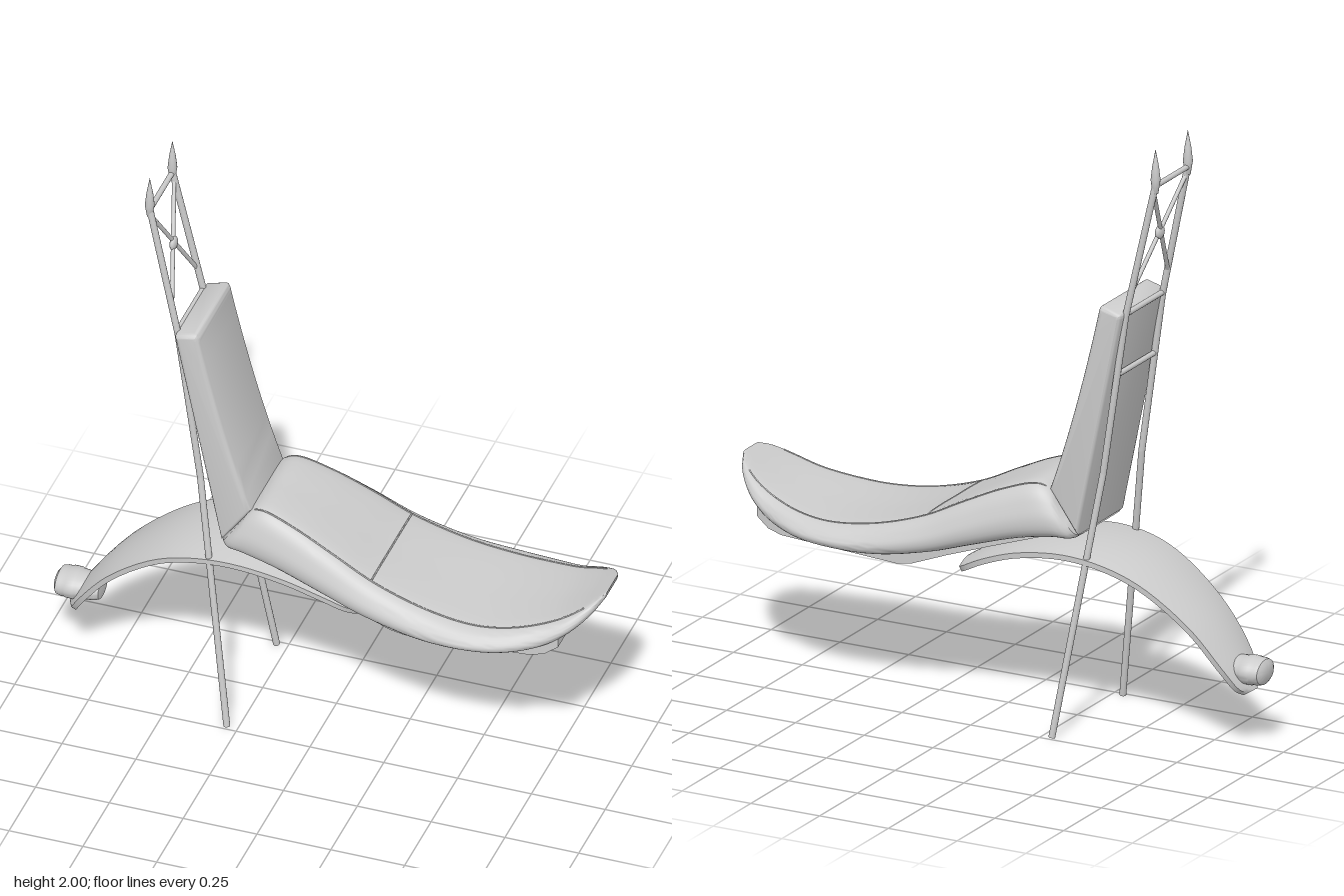
import * as THREE from 'three';
import { toCreasedNormals } from 'three/addons/utils/BufferGeometryUtils.js';

const V = (x, y, z = 0) => new THREE.Vector3(x, y, z);
const curve = (pts, closed = false) => new THREE.CatmullRomCurve3(pts.map(p => V(...p)), closed);

// Skin closed rings that advance along +x (each ordered top, +z, bottom, -z) and cap both ends
function loft(rings, crease = 0.7) {
  const n = rings[0].length, pos = [], idx = [];
  rings.forEach(r => r.forEach(p => pos.push(p.x, p.y, p.z)));
  for (let i = 0; i < rings.length - 1; i++) {
    for (let j = 0; j < n; j++) {
      const k = (j + 1) % n, a = i * n + j, b = i * n + k, c = b + n, d = a + n;
      idx.push(a, b, c, a, c, d);
    }
  }
  [0, rings.length - 1].forEach(i => {
    const mid = rings[i].reduce((s, p) => s.add(p), V(0, 0, 0)).divideScalar(n);
    const m = pos.length / 3;
    pos.push(mid.x, mid.y, mid.z);
    for (let j = 0; j < n; j++) {
      const a = i * n + j, b = i * n + (j + 1) % n;
      if (i === 0) idx.push(m, b, a); else idx.push(m, a, b);
    }
  });
  const g = new THREE.BufferGeometry();
  g.setAttribute('position', new THREE.Float32BufferAttribute(pos, 3));
  g.setIndex(idx);
  return toCreasedNormals(g, crease);
}

export function createModel() {
  const model = new THREE.Group();
  const grey = new THREE.MeshStandardMaterial({ color: 0xcccccc });
  grey.name = 'light grey';

  function add(name, geometry, parent = model) {
    const m = new THREE.Mesh(geometry, grey);
    m.name = name;
    parent.add(m);
    return m;
  }
  function rod(name, a, b, r, parent) {
    const m = add(name, new THREE.CylinderGeometry(r, r, a.distanceTo(b), 12), parent);
    m.position.copy(a).lerp(b, 0.5);
    m.quaternion.setFromUnitVectors(V(0, 1), b.clone().sub(a).normalize());
    return m;
  }

  // Seat pad: stations of [top x, top y, half width] and [bottom x, bottom y]
  const top = curve([
    [-0.25, 0.785, 0.172], [-0.235, 0.81, 0.19], [-0.19, 0.827, 0.207], [-0.08, 0.795, 0.225],
    [0.06, 0.73, 0.243], [0.2, 0.66, 0.255], [0.38, 0.605, 0.267], [0.54, 0.585, 0.27],
    [0.66, 0.594, 0.25], [0.77, 0.62, 0.21], [0.85, 0.655, 0.172], [0.91, 0.69, 0.115], [0.936, 0.706, 0.06]]);
  const bottom = curve([
    [-0.335, 0.66], [-0.315, 0.648], [-0.26, 0.648], [-0.14, 0.63],
    [0.02, 0.585], [0.17, 0.54], [0.36, 0.505], [0.53, 0.505],
    [0.65, 0.513], [0.76, 0.538], [0.84, 0.585], [0.9, 0.64], [0.93, 0.68]]);
  // Cross-section of [share of half width, share of height], mirrored
  const half = [[0.45, 1], [0.76, 0.96], [0.88, 0.83], [0.96, 0.6], [1, 0.37], [0.96, 0.14], [0.84, 0.03], [0.45, 0]];
  const section = curve([[0, 1], ...half, [0, 0], ...half.slice().reverse().map(([u, v]) => [-u, v])], true);
  const N = section.points.length;
  const padPoint = (t, s) => {
    const a = top.getPoint(t), b = bottom.getPoint(t), q = section.getPoint(((s % 1) + 1) % 1);
    return V(b.x + (a.x - b.x) * q.y, b.y + (a.y - b.y) * q.y, a.z * q.x);
  };
  const rings = [];
  for (let i = 0; i <= 60; i++) {
    rings.push(Array.from({ length: 54 }, (_, j) => padPoint(i / 60, j / 54)));
  }
  add('seatPad', loft(rings));

  // Fine seams along both sides and across the pad
  const seam = (name, pts) => add(name, new THREE.TubeGeometry(new THREE.CatmullRomCurve3(pts), 60, 0.0028, 5));
  for (const k of [2, -2]) {
    seam('sideSeam', Array.from({ length: 31 }, (_, i) => padPoint(0.12 + 0.75 * i / 30, k / N)));
  }
  seam('crossSeam', Array.from({ length: 17 }, (_, i) => padPoint(0.41, (-2 + i / 4) / N)));

  // Seat pan under the pad: [x, bottom y, half width]
  const pan = [[-0.21, 0.64, 0.15], [-0.04, 0.588, 0.18], [0.12, 0.533, 0.19], [0.25, 0.483, 0.193], [0.3, 0.476, 0.195],
    [0.45, 0.485, 0.195], [0.72, 0.5, 0.192], [0.77, 0.513, 0.188], [0.815, 0.545, 0.18]];
  add('seatPan', loft(pan.map(([x, y, w]) =>
    [V(x, y + 0.045, -w), V(x, y + 0.045, w), V(x, y, w), V(x, y, -w)]), 0.4));

  // Backrest: side profile, wedge shaped towards the top, with rounded edges
  const side = new THREE.Shape();
  side.moveTo(-0.335, 0.665);
  side.lineTo(-0.233, 0.805);
  side.quadraticCurveTo(-0.325, 1.06, -0.408, 1.425);
  side.quadraticCurveTo(-0.412, 1.458, -0.43, 1.453);
  side.lineTo(-0.487, 1.437);
  side.quadraticCurveTo(-0.497, 1.435, -0.492, 1.415);
  side.closePath();
  const rest = new THREE.ExtrudeGeometry(side, {
    depth: 0.28, bevelThickness: 0.02, bevelSize: 0.018, bevelOffset: -0.018, bevelSegments: 4, curveSegments: 10 });
  rest.translate(0, 0, -0.14);
  add('backrest', toCreasedNormals(rest, 0.6));

  // Fender: arched, slightly crowned strip of [x, y, half width]
  const spine = curve([
    [-0.888, 0.188, 0.03], [-0.875, 0.21, 0.066], [-0.835, 0.278, 0.1], [-0.73, 0.408, 0.128], [-0.57, 0.53, 0.155],
    [-0.44, 0.583, 0.173], [-0.29, 0.601, 0.18], [-0.12, 0.577, 0.175], [0.01, 0.53, 0.16], [0.09, 0.488, 0.135],
    [0.125, 0.468, 0.1], [0.138, 0.459, 0.05]]);
  const strip = [];
  for (let i = 0; i <= 48; i++) {
    const p = spine.getPoint(i / 48), d = spine.getTangent(i / 48);
    const up = V(-d.y, d.x).normalize(), ring = [];
    for (const s of [1, -1]) {
      for (let j = 0; j <= 10; j++) {
        const u = s * (j / 5 - 1);
        const h = s * 0.009 + 0.006 - 0.016 * u * u;
        ring.push(V(p.x + up.x * h, p.y + up.y * h, p.z * u));
      }
    }
    strip.push(ring);
  }
  add('fender', loft(strip));

  // Tail light: oval turned body lying along x
  const lamp = [[0, -0.945], [0.62, -0.943], [0.88, -0.934], [0.95, -0.92], [0.95, -0.905], [1, -0.9], [1, -0.875],
    [0.94, -0.868], [0.88, -0.84], [0.8, -0.805], [0.7, -0.792], [0, -0.788]];
  const light = new THREE.LatheGeometry(lamp.map(([r, x]) => new THREE.Vector2(r, x)), 32);
  light.rotateZ(-Math.PI / 2);
  light.scale(1, 0.047, 0.065);
  light.translate(0, 0.258, 0);
  add('tailLight', toCreasedNormals(light, 0.7));

  // Tall back bar: two bent legs with pointed tips
  const bar = new THREE.Group();
  bar.name = 'backBar';
  model.add(bar);
  const path = [[-0.287, 0, 0.235], [-0.415, 0.88, 0.128], [-0.493, 1.42, 0.122], [-0.592, 1.87, 0.107]];
  const spear = [[0, 0], [0.009, 0], [0.016, 0.045], [0.011, 0.09], [0, 0.15]].map(p => new THREE.Vector2(...p));
  for (const s of [1, -1]) {
    const pts = path.map(([x, y, z]) => V(x, y, s * z));
    for (let i = 0; i < 3; i++) rod('leg', pts[i], pts[i + 1], 0.011, bar);
    for (const p of pts.slice(1, 3)) add('legBend', new THREE.SphereGeometry(0.011, 12, 8), bar).position.copy(p);
    add('spearTip', new THREE.LatheGeometry(spear, 12), bar).position.set(-0.594, 1.85, s * 0.107);
    // Diagonal braces
    rod('diagonalBrace', V(-0.515, 1.51, s * 0.118), V(-0.588, 1.85, -s * 0.107), 0.007, bar);
  }
  // Cross bars and the boss where the braces meet
  for (const [x, y, z] of [[-0.594, 1.875, 0.107], [-0.495, 1.43, 0.122], [-0.464, 1.22, 0.124]]) {
    rod('crossBar', V(x, y, -z), V(x, y, z), 0.009, bar);
  }
  const boss = add('braceBoss', new THREE.SphereGeometry(0.024, 16, 12), bar);
  boss.position.set(-0.551, 1.68, 0);
  boss.scale.x = 0.5;

  return model;
}
